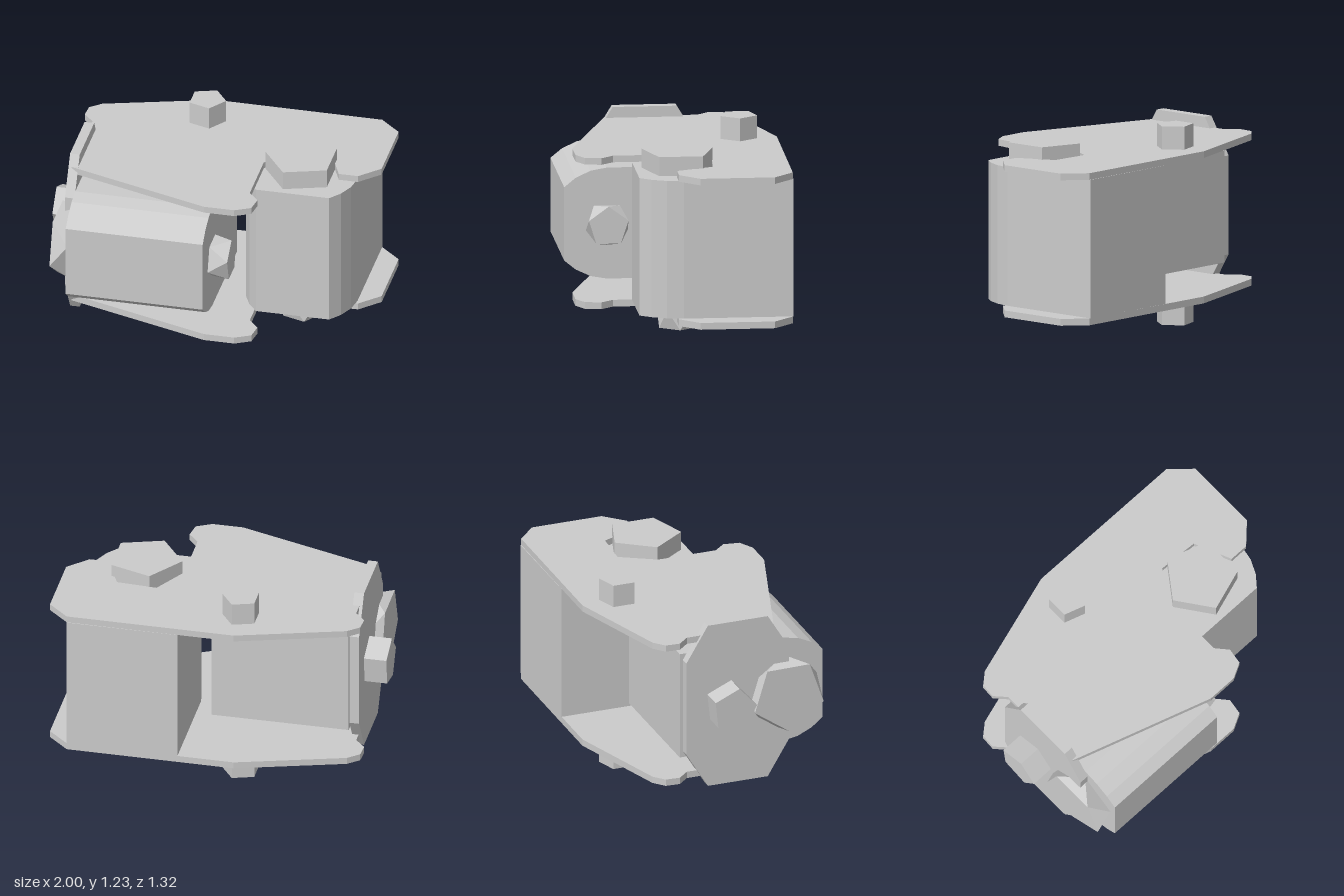
import * as THREE from 'three';
import { ConvexGeometry } from 'three/addons/geometries/ConvexGeometry.js';

const material = new THREE.MeshStandardMaterial({ color: 0xcccccc, flatShading: true });

function mesh(name, geometry) {
  const m = new THREE.Mesh(geometry, material);
  m.name = name;
  return m;
}

// Upright slab from an outline of [x, z] pairs, spanning y0..y1
function slab(outline, y0, y1) {
  const shape = new THREE.Shape(outline.map(([x, z]) => new THREE.Vector2(x, -z)));
  const g = new THREE.ExtrudeGeometry(shape, { depth: y1 - y0, bevelEnabled: false });
  return g.rotateX(-Math.PI / 2).translate(0, y0, 0);
}

// Five-sided stub along y; a differing base angle gives a twisted, faceted stub
function stub(rEnd, yEnd, angleEnd, rBase, yBase, angleBase) {
  const points = [];
  for (const [r, y, angle] of [[rEnd, yEnd, angleEnd], [rBase, yBase, angleBase]]) {
    for (let i = 0; i < 5; i++) {
      const a = THREE.MathUtils.degToRad(angle + i * 72);
      points.push(new THREE.Vector3(r * Math.cos(a), y, r * Math.sin(a)));
    }
  }
  return new ConvexGeometry(points);
}

// Motor body with its rounded front at z = 0, an end disc on top and a pinion below
function motor(name, disc) {
  const group = new THREE.Group();
  group.name = name;
  const half = [[0.228, 0], [0.285, -0.07], [0.327, -0.16], [0.345, -0.26], [0.345, -0.93]];
  const outline = [...half, ...half.map(([x, z]) => [-x, z]).reverse()];
  group.add(mesh('motorBody', slab(outline, -0.427, 0.427)));
  const pinion = mesh('motorPinion', stub(0.127, -0.547, 0, 0.135, -0.427, 36));
  pinion.position.z = -0.26;
  disc.position.z = -0.26;
  group.add(pinion, disc);
  return group;
}

export function createModel() {
  const model = new THREE.Group();
  model.name = 'twinMotorJoint';

  // Upper and lower bracket plates
  const plateOutline = [
    [-0.17, -0.66], [-0.83, -0.46], [-0.9, -0.4], [-0.905, -0.31], [-0.84, -0.24],
    [-0.84, -0.15], [-0.8, -0.15], [-0.8, 0.31], [-0.84, 0.325], [0.05, 0.61],
    [0.24, 0.61], [0.335, 0.56], [0.35, 0.46], [0.285, 0.385], [0.285, 0.01],
    [0.41, -0.205], [0.66, -0.19], [0.76, 0.04], [0.88, 0.04], [1, -0.08],
    [1, -0.535], [0.87, -0.655],
  ];
  model.add(mesh('upperPlate', slab(plateOutline, 1.042, 1.083)));
  model.add(mesh('lowerPlate', slab(plateOutline, 0.145, 0.187)));

  // Eight-sided side plate, built flat and turned to face -x
  const sideOutline = [];
  for (const [sy, sz] of [[1, 1], [-1, 1], [-1, -1], [1, -1]]) {
    const corner = [[0.535 * sy, 0.195 * sz], [0.305 * sy, 0.335 * sz]];
    sideOutline.push(...(sy === sz ? corner : corner.reverse()));
  }
  const sidePlate = mesh('sidePlate', slab(sideOutline, 0, 0.06));
  sidePlate.rotation.z = Math.PI / 2;
  sidePlate.position.set(-0.8, 0.615, 0.085);
  model.add(sidePlate);

  // Standing motor and lying motor
  const standing = motor('standingMotor', mesh('motorDisc', stub(0.228, 0.545, 180, 0.228, 0.427, 180)));
  standing.position.set(0.525, 0.615, 0.27);
  const lying = motor('lyingMotor', mesh('motorDisc', stub(0.235, 0.537, 107, 0.235, 0.427, 143)));
  lying.rotation.z = Math.PI / 2;
  lying.position.set(-0.3725, 0.615, 0.66);
  model.add(standing, lying);

  // Pivot pins on the outer faces of the plates
  for (const [name, y] of [['upperPin', 1.083], ['lowerPin', 0]]) {
    const pin = mesh(name, stub(0.117, 0.142, 0, 0.117, 0, 0));
    pin.position.set(-0.167, y, -0.425);
    model.add(pin);
  }
  const sidePin = mesh('sidePin', stub(0.145, 0.14, 84, 0.145, 0, 84));
  sidePin.rotation.z = Math.PI / 2;
  sidePin.position.set(-0.86, 0.62, 0.012);
  model.add(sidePin);

  return model;
}
